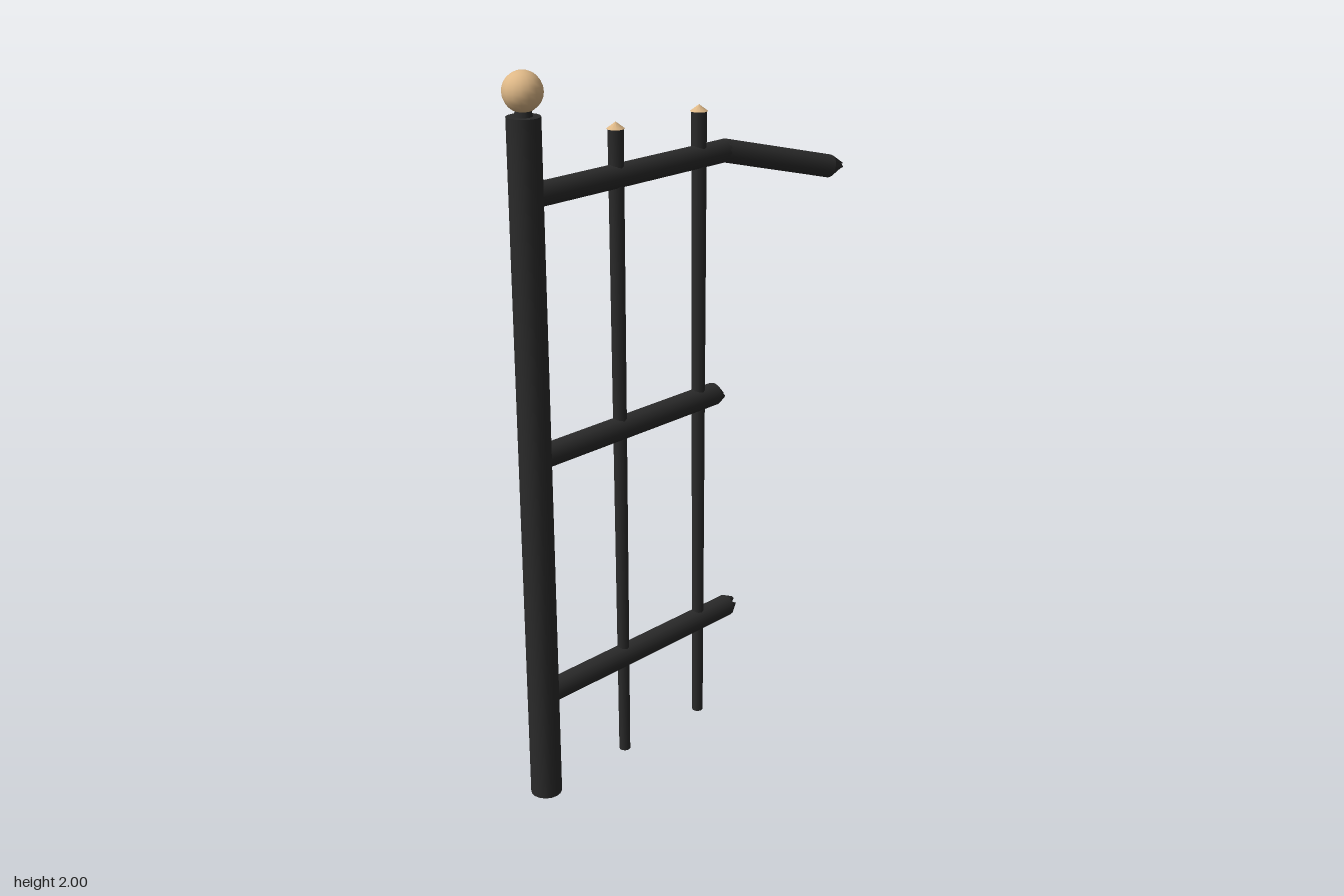
import * as THREE from 'three';

const Z = -0.045, RAIL = 0.032;

export function createModel() {
  const group = new THREE.Group();
  const iron = new THREE.MeshStandardMaterial({ color: 0x2a2a2a });
  iron.name = 'darkIron';
  const wood = new THREE.MeshStandardMaterial({ color: 0xdeb887 });
  wood.name = 'tanCap';

  const add = (name, geo, mat, x, y, z = Z) => {
    const m = new THREE.Mesh(geo, mat);
    m.name = name;
    m.position.set(x, y, z);
    group.add(m);
    return m;
  };
  const up = new THREE.Vector3(0, 1, 0);

  // Round rod between two points
  function rod(name, a, b) {
    const dir = b.clone().sub(a);
    const mid = a.clone().add(b).multiplyScalar(0.5);
    const m = add(name, new THREE.CylinderGeometry(RAIL, RAIL, dir.length(), 12), iron, mid.x, mid.y, mid.z);
    m.quaternion.setFromUnitVectors(up, dir.normalize());
  }

  // Snapped rail end: a ring tapering to an uneven rim, shifted off axis
  function brokenEnd(name, at, dir, length, rimRadius, jag, shift) {
    const geo = new THREE.CylinderGeometry(rimRadius, RAIL, length, 12).toNonIndexed();
    geo.translate(0, length / 2, 0);
    const q = new THREE.Quaternion().setFromUnitVectors(up, dir.clone().normalize());
    geo.applyQuaternion(q);
    const p = geo.attributes.position, v = new THREE.Vector3();
    const axis = dir.clone().normalize();
    for (let i = 0; i < p.count; i++) {
      v.fromBufferAttribute(p, i);
      if (v.dot(axis) < length * 0.5) continue;
      const side = v.clone().addScaledVector(axis, -v.dot(axis));
      const tooth = side.length() < 1e-4 ? -1 : Math.sin(Math.atan2(side.z, side.y) * 4 + 0.6);
      v.addScaledVector(axis, tooth * jag).add(shift);
      p.setXYZ(i, v.x, v.y, v.z);
    }
    geo.computeVertexNormals();
    add(name, geo, iron, at.x, at.y, at.z);
  }

  // Main post with ball finial
  add('post', new THREE.CylinderGeometry(0.043, 0.043, 1.89, 16), iron, -0.507, 0.945);
  add('finialNeck', new THREE.CylinderGeometry(0.02, 0.025, 0.025, 12), iron, -0.507, 1.895);
  add('finialBall', new THREE.SphereGeometry(0.051, 16, 12), wood, -0.507, 1.95);

  // Slender uprights with pointed caps
  for (const x of [-0.206, 0.096]) {
    add('upright', new THREE.CylinderGeometry(0.021, 0.016, 1.815, 10), iron, x, 0.9075);
    add('uprightCap', new THREE.ConeGeometry(0.024, 0.018, 10), wood, x, 1.823);
  }

  // Straight rails
  const V = (x, y, z = Z) => new THREE.Vector3(x, y, z);
  const X = V(1, 0, 0);
  rod('lowerRail', V(-0.507, 0.305), V(0.218, 0.305));
  brokenEnd('lowerRailEnd', V(0.218, 0.305), X, 0.026, 0.016, 0.009, V(0, 0, -0.004));
  rod('middleRail', V(-0.507, 1), V(0.16, 1));
  brokenEnd('middleRailEnd', V(0.16, 1), X, 0.042, 0.008, 0.008, V(0, -0.019, -0.008));

  // Top rail with bent, snapped tip
  const bend = V(0.195, 1.692), tip = V(0.508, 1.614, 0.064);
  rod('topRail', V(-0.507, 1.692), bend);
  add('topRailBend', new THREE.SphereGeometry(RAIL, 12, 8), iron, bend.x, bend.y, bend.z);
  rod('bentRail', bend, tip);
  brokenEnd('bentRailTip', tip, tip.clone().sub(bend), 0.043, 0.008, 0.004, V(0.003, 0.006, -0.008));

  return group;
}
